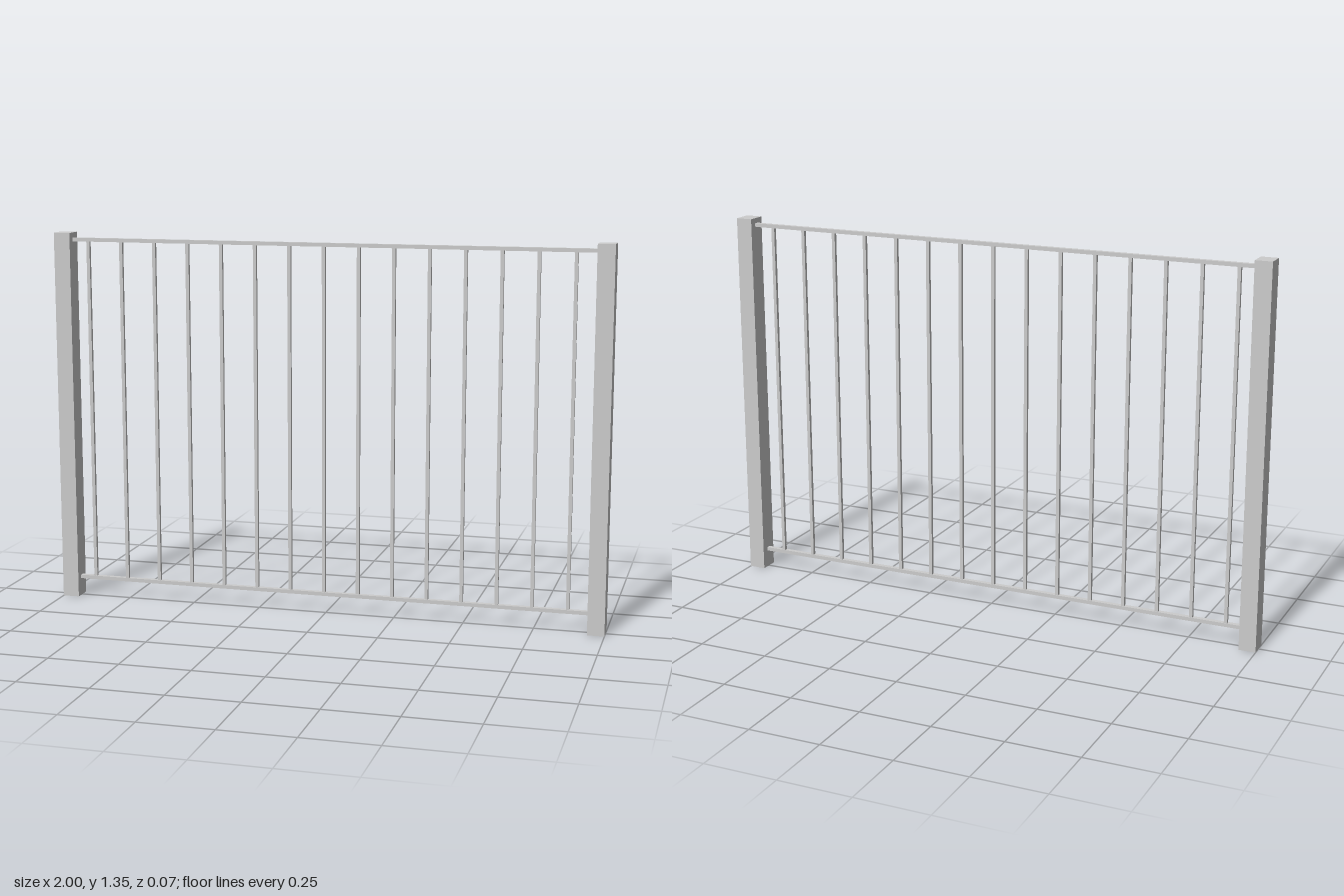
import * as THREE from 'three';

export function createModel() {
  const group = new THREE.Group();
  group.name = 'fencePanel';
  const material = new THREE.MeshStandardMaterial({ color: 0xcccccc, flatShading: true });

  const addBox = (name, size, position) => {
    const mesh = new THREE.Mesh(new THREE.BoxGeometry(...size), material);
    mesh.name = name;
    mesh.position.set(...position);
    group.add(mesh);
  };

  const postHeight = 1.345, postWidth = 0.06, postDepth = 0.07;
  const railHeight = 0.013, railDepth = 0.017;
  const bottomRailY = 0.07, topRailY = 1.32;

  // End posts
  for (const [name, side] of [['leftPost', 1], ['rightPost', -1]]) {
    addBox(name, [postWidth, postHeight, postDepth], [side * (1 - postWidth / 2), postHeight / 2, 0]);
  }

  // Horizontal rails between the posts
  const railLength = 2 - 2 * postWidth;
  addBox('topRail', [railLength, railHeight, railDepth], [0, topRailY, 0]);
  addBox('bottomRail', [railLength, railHeight, railDepth], [0, bottomRailY, 0]);

  // Evenly spaced vertical bars
  const barCount = 15, barSpacing = 0.125, firstBarX = -0.882;
  const barHeight = topRailY - bottomRailY - railHeight;
  for (let i = 0; i < barCount; i++) {
    addBox(`bar${i + 1}`, [0.012, barHeight, 0.012],
      [firstBarX + i * barSpacing, (topRailY + bottomRailY) / 2, 0]);
  }

  return group;
}
